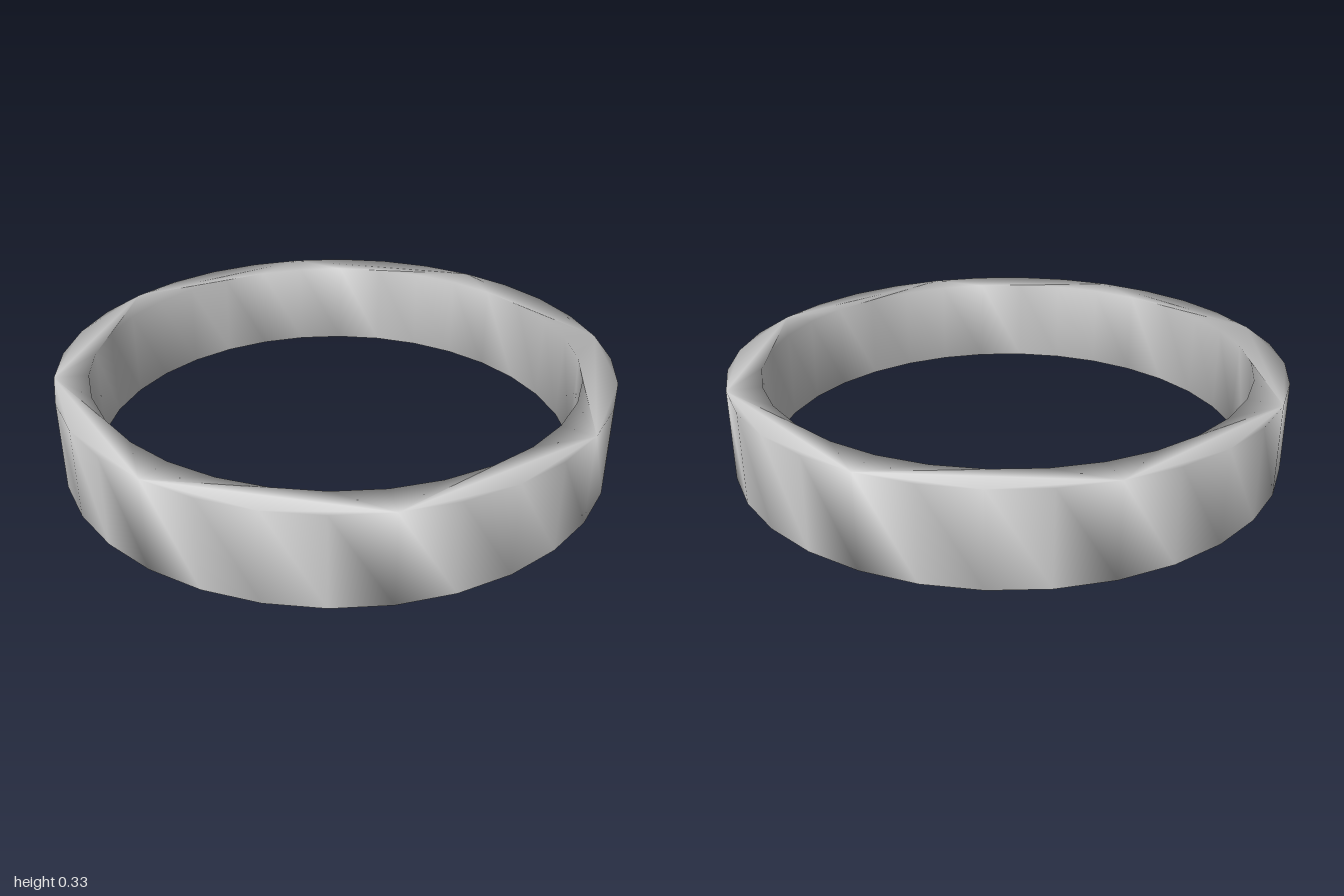
import * as THREE from 'three';
import { mergeVertices } from 'three/addons/utils/BufferGeometryUtils.js';

const SIDES = 32, OUTER = 1, INNER = 0.88, HEIGHT = 0.33;

// Points of a regular polygon standing in for a circle
function circle(radius) {
  return Array.from({ length: SIDES }, (_, i) => {
    const a = (i / SIDES) * Math.PI * 2;
    return new THREE.Vector2(radius * Math.cos(a), radius * Math.sin(a));
  });
}

export function createModel() {
  const group = new THREE.Group();
  group.name = 'ring';

  // Flat band: outer outline with a round hole, raised to its height
  const outline = new THREE.Shape(circle(OUTER));
  outline.holes.push(new THREE.Path(circle(INNER)));
  let geometry = new THREE.ExtrudeGeometry(outline, { depth: HEIGHT, bevelEnabled: false });
  geometry.rotateX(-Math.PI / 2);

  // Weld all corners so the shading is smooth over every edge
  geometry.deleteAttribute('uv');
  geometry.deleteAttribute('normal');
  geometry = mergeVertices(geometry, 1e-4);
  geometry.computeVertexNormals();

  const band = new THREE.Mesh(geometry, new THREE.MeshStandardMaterial({ color: 0xcccccc }));
  band.name = 'band';
  group.add(band);
  return group;
}
